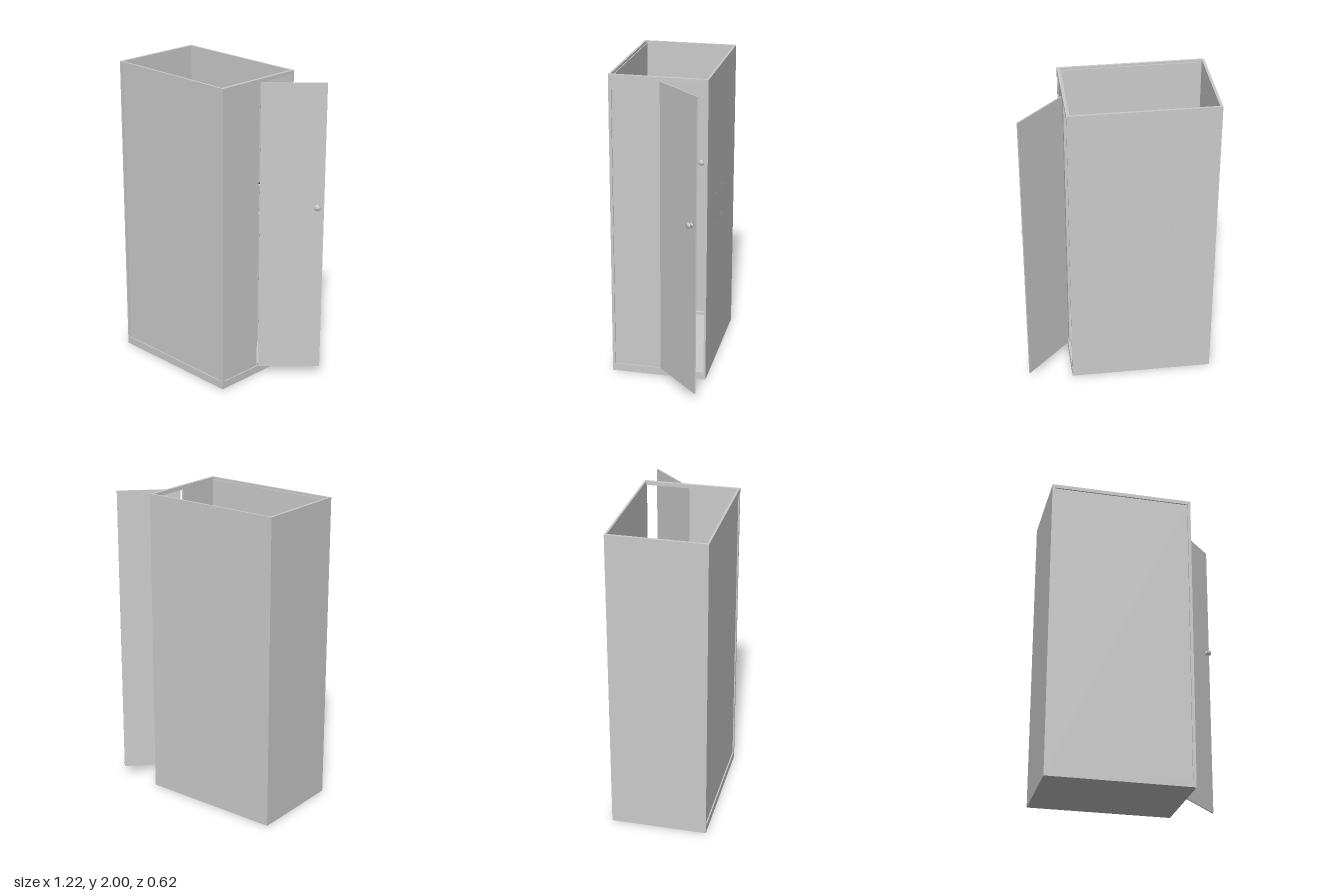
import * as THREE from 'three';

const grey = new THREE.MeshStandardMaterial({ color: 0xcccccc });
const brown = new THREE.MeshStandardMaterial({ color: 0x6b4630 });

// Box given by its limits on each axis
function box(name, x0, x1, y0, y1, z0, z1, mat = grey) {
  const m = new THREE.Mesh(new THREE.BoxGeometry(x1 - x0, y1 - y0, z1 - z0), mat);
  m.position.set((x0 + x1) / 2, (y0 + y1) / 2, (z0 + z1) / 2);
  m.name = name;
  return m;
}

// Wall outline with a rectangular opening, extruded along z
function framedWall(name, w, h, x0, x1, y0, y1, depth) {
  const s = new THREE.Shape();
  s.moveTo(0, 0).lineTo(w, 0).lineTo(w, h).lineTo(0, h).closePath();
  const hole = new THREE.Path();
  hole.moveTo(x0, y0).lineTo(x0, y1).lineTo(x1, y1).lineTo(x1, y0).closePath();
  s.holes.push(hole);
  const m = new THREE.Mesh(new THREE.ExtrudeGeometry(s, { depth, bevelEnabled: false }), grey);
  m.name = name;
  return m;
}

// Round handle with a narrow neck, pointing along +y
function knob(name) {
  const pts = [[0, 0], [0.016, 0], [0.016, 0.004], [0.008, 0.007], [0.008, 0.014],
    [0.018, 0.019], [0.02, 0.026], [0.013, 0.033], [0, 0.035]];
  const m = new THREE.Mesh(new THREE.LatheGeometry(pts.map(p => new THREE.Vector2(...p)), 16), grey);
  m.name = name;
  return m;
}

export function createModel() {
  const g = new THREE.Group();
  g.name = 'openTopCabinet';

  // Plain walls and floor; the top stays open
  g.add(box('floor', -0.61, 0.32, 0, 0.03, -0.31, 0.31));
  g.add(box('backWall', -0.61, 0.32, 0, 2, -0.31, -0.297));
  g.add(box('leftWall', -0.61, -0.593, 0, 2, -0.31, 0.31));
  g.add(box('innerSill', -0.593, -0.57, 0.03, 0.05, -0.297, 0.297));

  // Front wall with a shallow inset panel
  const front = framedWall('frontFrame', 0.93, 2, 0.018, 0.912, 0.05, 1.975, 0.014);
  front.position.set(-0.61, 0, 0.296);
  g.add(front, box('frontPanel', -0.595, 0.305, 0.04, 1.985, 0.29, 0.302));

  // Side wall: half closed by an inset panel, half an open doorway
  const side = framedWall('sideFrame', 0.62, 2, 0.018, 0.607, 0.05, 1.975, 0.02);
  side.rotation.y = Math.PI / 2;
  side.position.set(0.3, 0, 0.31);
  g.add(side, box('sidePanel', 0.3, 0.312, 0.04, 1.985, -0.012, 0.3));

  // Open door, swung out by 45 degrees
  const door = new THREE.Group();
  door.name = 'openDoor';
  door.add(box('doorLeaf', 0, 0.405, 0.05, 1.975, -0.004, 0.004));
  const handle = knob('doorKnob');
  handle.rotation.x = Math.PI / 2;
  handle.position.set(0.362, 1.175, 0.004);
  door.add(handle);
  door.position.set(0.32, 0, -0.015);
  door.rotation.y = Math.PI / 4;
  g.add(door);

  // Pair of knobs inside, on the wall facing the doorway
  for (const z of [-0.09, 0.09]) {
    const k = knob('innerKnob');
    k.rotation.z = -Math.PI / 2;
    k.position.set(-0.6, 1.175, z);
    g.add(k);
  }

  // Wall rack: two narrow shelves held by pegs that just reach the back face
  const rack = new THREE.Group();
  rack.name = 'wallRack';
  for (const y of [0.98, 1.18]) {
    rack.add(box('rackShelf', -0.345, 0.115, y - 0.008, y + 0.008, -0.3, -0.262));
    for (let i = 0; i < 8; i++) {
      for (const dy of [-0.008, 0.008]) {
        const peg = new THREE.Mesh(new THREE.CylinderGeometry(0.002, 0.002, 0.02, 6), grey);
        peg.name = 'rackPeg';
        peg.rotation.x = Math.PI / 2;
        peg.position.set(-0.32 + i * 0.057 + dy, y + dy, -0.301);
        rack.add(peg);
      }
    }
  }
  // Brown bar with a middle clip
  const bar = new THREE.Mesh(new THREE.CylinderGeometry(0.006, 0.006, 0.43, 12), brown);
  bar.name = 'rackBar';
  bar.rotation.z = Math.PI / 2;
  bar.position.set(-0.112, 1.196, -0.284);
  rack.add(bar, box('barClip', -0.112, -0.1, 1.186, 1.206, -0.296, -0.272, brown));
  g.add(rack);

  return g;
}
